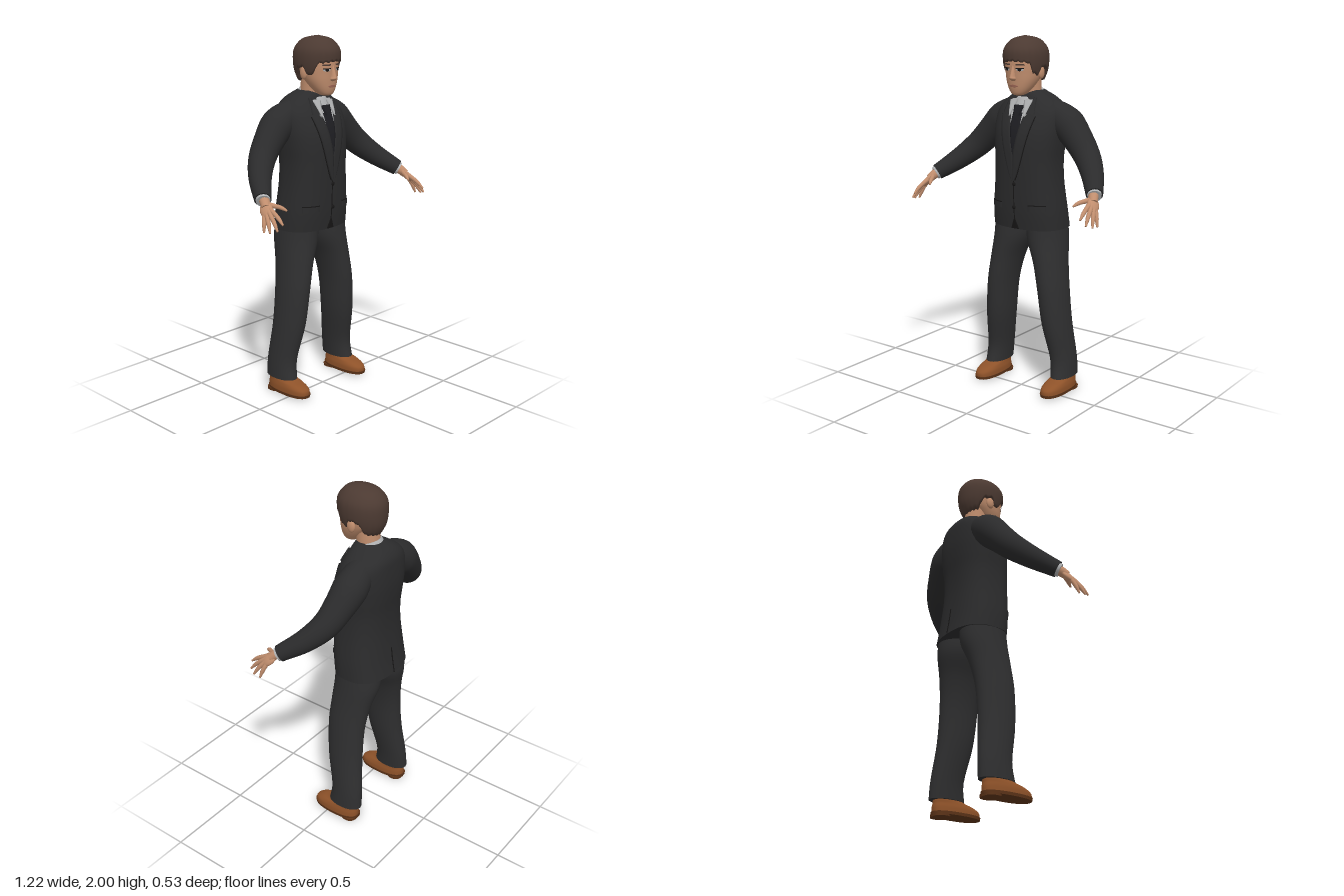
import * as THREE from 'three';

const paint = (name, color) => Object.assign(new THREE.MeshStandardMaterial({ color }), { name });
const V = (p) => new THREE.Vector3(...p);
const angles = (n) => Array.from({ length: n }, (_, j) => (j / n) * Math.PI * 2);

// Surface over a grid of points; closed rows wrap around
function gridGeometry(rows, wrap, flip = false, caps = false) {
  const cols = rows[0].length, pos = rows.flat().flatMap((p) => [p.x, p.y, p.z]), idx = [];
  const tri = (a, b, c) => (flip ? idx.push(a, c, b) : idx.push(a, b, c));
  for (let i = 0; i < rows.length - 1; i++) {
    for (let j = 0; j < (wrap ? cols : cols - 1); j++) {
      const k = (j + 1) % cols, a = i * cols, b = a + cols;
      tri(a + j, a + k, b + k);
      tri(a + j, b + k, b + j);
    }
  }
  // End caps use their own points so the rim stays crisp
  if (caps) [rows[0], rows[rows.length - 1]].forEach((ring, end) => {
    const start = pos.length / 3, mid = new THREE.Vector3();
    ring.forEach((p) => { mid.addScaledVector(p, 1 / cols); pos.push(p.x, p.y, p.z); });
    pos.push(mid.x, mid.y, mid.z);
    for (let j = 0; j < cols; j++) {
      const pts = [start + j, start + (j + 1) % cols];
      tri(start + cols, pts[1 - end], pts[end]);
    }
  });
  const g = new THREE.BufferGeometry();
  g.setAttribute('position', new THREE.Float32BufferAttribute(pos, 3));
  g.setIndex(idx);
  g.computeVertexNormals();
  return g;
}
// Smooth a table of sections [y, centreX, halfWidth, frontZ, backZ]
function smooth(table, n = 5) {
  const out = [], last = table.length - 1;
  for (let i = 0; i < last; i++) {
    const [p, q, r, s] = [table[Math.max(i - 1, 0)], table[i], table[i + 1], table[Math.min(i + 2, last)]];
    for (let k = 0; k < n; k++) {
      const t = k / n;
      out.push(q.map((v, c) => {
        const a = r[c] - p[c], b = 2 * p[c] - 5 * v + 4 * r[c] - s[c], d = 3 * (v - r[c]) + s[c] - p[c];
        return v + 0.5 * t * (a + t * (b + t * d));
      }));
    }
  }
  return [...out, table[last]];
}
function sectionAt(rows, y) {
  let i = 0;
  while (i < rows.length - 2 && rows[i + 1][0] < y) i++;
  const t = THREE.MathUtils.clamp((y - rows[i][0]) / (rows[i + 1][0] - rows[i][0]), 0, 1);
  return rows[i].map((v, c) => v + t * (rows[i + 1][c] - v));
}
// Point on a rounded cross-section; angle 0 faces the front
function rim([y, cx, rx, zf, zb], a, n = 2, tilt = 0) {
  const bend = (v) => Math.sign(v) * Math.abs(v) ** (2 / n);
  const c = bend(Math.cos(a));
  return V([cx + rx * bend(Math.sin(a)), y - tilt * c, (zf + zb) / 2 + ((zf - zb) / 2) * c]);
}
const loft = (rows, n = 2, segs = 40, tilt = 0) =>
  gridGeometry(rows.map((r) => angles(segs).map((a) => rim(r, a, n, tilt))), true, false, true);

// Round tube with a changing radius
function sweep(points, radii, steps = 20, segs = 16) {
  const curve = new THREE.CatmullRomCurve3(points.map(V)), f = curve.computeFrenetFrames(steps);
  const rows = [];
  for (let i = 0; i <= steps; i++) {
    const u = (i / steps) * (radii.length - 1), k = Math.min(Math.floor(u), radii.length - 2);
    const r = THREE.MathUtils.lerp(radii[k], radii[k + 1], u - k), c = curve.getPointAt(i / steps);
    rows.push(angles(segs).map((a) => c.clone().addScaledVector(f.normals[i], r * Math.cos(a))
      .addScaledVector(f.binormals[i], r * Math.sin(a))));
  }
  return gridGeometry(rows, true, false, true);
}
// Thin plate that follows the front (or back) of a lofted body
function drape(body, n, y0, y1, edges, off, side = 1) {
  const rows = [], cols = [0, 0, 0.2, 0.4, 0.6, 0.8, 1, 1], steps = 14;
  for (let i = 0; i <= steps; i++) {
    const t = i / steps, y = y0 + (y1 - y0) * t, [x0, x1] = edges(t, y);
    const [, , rx, zf, zb] = sectionAt(body, y);
    rows.push(cols.map((s, j) => {
      const x = x0 + (x1 - x0) * s, q = Math.min(Math.abs(x) / rx, 0.98);
      const z = (zf + zb) / 2 + side * ((zf - zb) / 2) * (1 - q ** n) ** (1 / n);
      return V([x, y, z + side * (j === 0 || j === 7 ? 0 : off)]);
    }));
  }
  return gridGeometry(rows, false, side < 0);
}

export function createModel() {
  const model = new THREE.Group();
  model.name = 'suitedMan';
  const suit = paint('jacket cloth', 0x2b2b2c), trouser = paint('trouser cloth', 0x2f2f30);
  const seam = paint('dark detail', 0x171616), tieCloth = paint('tie cloth', 0x1d1d21);
  const shirt = paint('shirt grey', 0xb0b1b2), skin = paint('skin', 0xc18e6e);
  const lips = paint('lips', 0xa26a58), hairMat = paint('hair', 0x4c3a32);
  const leather = paint('shoe leather', 0x8e5229), soleMat = paint('shoe sole', 0x5f3519);
  const add = (name, geo, mat) => model.add(Object.assign(new THREE.Mesh(geo, mat), { name }));
  const pair = (name, geo, mat) => {
    add(name + 'Left', geo, mat);
    const g = geo.clone().scale(-1, 1, 1), ix = g.index.array;
    for (let i = 0; i < ix.length; i += 3) [ix[i], ix[i + 1]] = [ix[i + 1], ix[i]];
    g.computeVertexNormals();
    add(name + 'Right', g, mat);
  };
  const blob = (p, s) => new THREE.SphereGeometry(1, 20, 14).scale(...s).translate(...p);

  // Jacket body
  const N = 2.5, torso = smooth([
    [0.945, 0, 0.22, 0.055, -0.262], [1.05, 0, 0.214, 0.066, -0.245], [1.2, 0, 0.197, 0.072, -0.23],
    [1.32, 0, 0.192, 0.075, -0.23], [1.42, 0, 0.2, 0.073, -0.24], [1.5, 0, 0.205, 0.06, -0.245],
    [1.58, 0, 0.2, 0.03, -0.242], [1.63, 0, 0.172, 0.006, -0.235], [1.665, 0, 0.13, -0.01, -0.215],
    [1.69, 0, 0.09, -0.02, -0.185], [1.705, 0, 0.07, -0.035, -0.16]]);
  add('jacketBody', loft(torso, N, 56), suit);
  const onTorso = (...args) => drape(torso, N, ...args);
  // Shirt front, tie and lapels
  const vee = (y) => (y < 1.57 ? Math.max(0.001, (y - 1.36) * 0.2) : 0.042 + (y - 1.57) * 0.3);
  const tieWidth = (y) => Math.min(0.03, vee(y) * 0.93);
  const lapelEdge = (t) => 0.008 + 0.1 * t ** 0.8;
  add('shirtFront', onTorso(1.36, 1.66, (t, y) => [-vee(y), vee(y)], 0.004), shirt);
  add('tieBlade', onTorso(1.365, 1.59, (t, y) => [-tieWidth(y), tieWidth(y)], 0.008), tieCloth);
  add('tieKnot', onTorso(1.575, 1.63, (t) => [-0.018 - 0.012 * t, 0.018 + 0.012 * t], 0.018), tieCloth);
  pair('shirtCollarPoint', onTorso(1.57, 1.655, (t) => [0.048 - 0.026 * t, 0.052 + 0.022 * t], 0.013), shirt);
  pair('lapel', onTorso(1.22, 1.575, (t, y) => [vee(y), lapelEdge(t)], 0.009), suit);
  pair('lapelSeam', onTorso(1.22, 1.575, (t) => [lapelEdge(t), lapelEdge(t) + 0.004], 0.003), seam);
  pair('jacketCollar', onTorso(1.585, 1.67, (t, y) => [vee(y) + 0.004, 0.1 - 0.015 * t], 0.01), suit);
  add('collarBand', loft([[1.655, 0, 0.086, 0.014, -0.172], [1.685, 0, 0.078, 0, -0.158],
    [1.695, 0, 0.072, -0.008, -0.15]], 2, 40, 0.025), shirt);
  // Jacket details
  add('frontEdge', onTorso(1.0, 1.23, () => [-0.002, 0.002], 0.003), seam);
  add('hemOpening', onTorso(0.946, 1.01, (t) => [0.025 * t - 0.026, 0.026 - 0.025 * t], 0.003), seam);
  add('backVent', onTorso(0.946, 1.1, () => [-0.003, 0.003], 0.003, -1), seam);
  pair('pocketFlap', onTorso(1.055, 1.085, () => [0.09, 0.178], 0.006), suit);
  pair('pocketSeam', onTorso(1.085, 1.091, () => [0.09, 0.178], 0.004), seam);
  for (const y of [1.07, 1.2]) add('button', blob([0.004, y, 0.074], [0.011, 0.011, 0.006]), seam);

  // Sleeves and shirt cuffs
  pair('sleeve', sweep([[0.11, 1.585, -0.12], [0.2, 1.54, -0.13], [0.29, 1.455, -0.118], [0.37, 1.37, -0.09],
    [0.45, 1.29, -0.02], [0.535, 1.21, 0.09]], [0.078, 0.094, 0.08, 0.07, 0.058, 0.045], 32, 24), suit);
  pair('cuff', sweep([[0.525, 1.219, 0.077], [0.541, 1.204, 0.1]], [0.039, 0.037], 3, 20), shirt);
  // Hands
  pair('wrist', sweep([[0.525, 1.219, 0.077], [0.54, 1.2, 0.11], [0.555, 1.178, 0.135]], [0.026, 0.027, 0.024], 8), skin);
  const along = V([0.03, -0.055, 0.06]).normalize(), across = V([0.03, -0.025, -0.04]);
  across.addScaledVector(along, -across.dot(along)).normalize();
  const palmFrame = new THREE.Matrix4().makeBasis(across, along, across.clone().cross(along)).setPosition(0.56, 1.168, 0.142);
  pair('palm', blob([0, 0, 0], [0.035, 0.05, 0.017]).applyMatrix4(palmFrame), skin);
  [['indexFinger', [0.553, 1.163, 0.183], [0.56, 1.11, 0.263]], ['middleFinger', [0.568, 1.15, 0.18], [0.586, 1.08, 0.25]],
    ['ringFinger', [0.578, 1.14, 0.167], [0.604, 1.068, 0.215]], ['littleFinger', [0.583, 1.133, 0.15], [0.606, 1.064, 0.172]],
    ['thumb', [0.52, 1.185, 0.155], [0.485, 1.163, 0.215]]].forEach(([name, knuckle, tip]) => {
    const mid = knuckle.map((v, i) => (v + tip[i]) / 2 + (i === 1 ? 0.005 : 0));
    pair(name, sweep([[0.545, 1.193, 0.12], knuckle, mid, tip], [0.016, 0.014, 0.012, 0.011, 0.005], 14, 10), skin);
  });

  // Trouser legs
  pair('trouserLeg', loft(smooth([
    [0.09, 0.232, 0.06, 0.005, -0.205], [0.2, 0.222, 0.064, -0.008, -0.2], [0.4, 0.196, 0.074, 0.03, -0.18],
    [0.6, 0.175, 0.077, 0.045, -0.18], [0.75, 0.148, 0.086, 0.04, -0.2], [0.88, 0.115, 0.107, 0.035, -0.232],
    [1.0, 0.106, 0.108, 0.03, -0.23]]), 2.1, 32), trouser);
  // Shoes
  pair('shoe', loft(smooth([[0.02, 0.233, 0.061, 0.104, -0.184], [0.05, 0.233, 0.06, 0.1, -0.184],
    [0.072, 0.233, 0.055, 0.06, -0.18], [0.09, 0.232, 0.05, 0.0, -0.178], [0.13, 0.23, 0.042, -0.04, -0.17]]), 2.4, 32), leather);
  pair('sole', loft([[0.01, 0.233, 0.062, 0.106, -0.187], [0.026, 0.233, 0.064, 0.11, -0.189]], 2.4, 32), soleMat);
  pair('heel', loft([[0, 0.233, 0.055, -0.09, -0.185], [0.015, 0.233, 0.056, -0.09, -0.186]], 2.6, 24), soleMat);

  // Neck, head and ears
  add('neck', loft([[1.63, 0, 0.066, -0.015, -0.15], [1.7, 0, 0.062, -0.018, -0.145], [1.8, 0, 0.064, 0, -0.14]]), skin);
  const H = 2.2, head = smooth([
    [1.683, 0, 0.022, 0.046, 0], [1.692, 0, 0.042, 0.059, -0.025], [1.72, 0, 0.064, 0.068, -0.06],
    [1.76, 0, 0.084, 0.073, -0.1], [1.8, 0, 0.095, 0.076, -0.135], [1.85, 0, 0.1, 0.078, -0.15],
    [1.92, 0, 0.098, 0.068, -0.15], [1.97, 0, 0.06, 0.03, -0.11]]);
  add('head', loft(head, H), skin);
  pair('ear', blob([0.1, 1.805, -0.045], [0.014, 0.035, 0.024]), skin);
  // Face
  add('nose', loft(smooth([[1.762, 0, 0.011, 0.08, 0.05], [1.775, 0, 0.019, 0.099, 0.05],
    [1.79, 0, 0.014, 0.097, 0.05], [1.845, 0, 0.009, 0.079, 0.05]]), 2, 18), skin);
  const onFace = (...args) => drape(head, H, ...args);
  const oval = (x, w) => (t) => [-1, 1].map((s) => x + s * (w * Math.sqrt(Math.max(0, 1 - (2 * t - 1) ** 2)) + 0.0005));
  pair('eyeWhite', onFace(1.815, 1.831, oval(0.041, 0.018), 0.002), shirt);
  pair('iris', onFace(1.815, 1.831, oval(0.041, 0.008), 0.004), seam);
  pair('eyelid', onFace(1.828, 1.833, () => [0.021, 0.061], 0.004), seam);
  pair('eyebrow', onFace(1.846, 1.854, (t) => [0.02, 0.066 - 0.006 * t], 0.004), hairMat);
  add('mouth', onFace(1.728, 1.742, oval(0, 0.026), 0.003), lips);

  // Hair: a cap whose lower edge runs over the brow, in front of the ear and down the nape
  const hair = smooth([
    [1.74, 0, 0.082, 0.06, -0.145], [1.8, 0, 0.105, 0.082, -0.174], [1.86, 0, 0.116, 0.092, -0.182],
    [1.92, 0, 0.113, 0.092, -0.178], [1.96, 0, 0.09, 0.068, -0.152], [1.985, 0, 0.058, 0.035, -0.115],
    [2.0, 0, 0.0005, -0.0345, -0.0355]]);
  const hairline = [[0, 1.87], [0.85, 1.86], [1.05, 1.805], [1.35, 1.79], [1.5, 1.84], [1.9, 1.83], [2.2, 1.765], [3.15, 1.748]];
  const hairRows = [];
  for (let k = -1; k <= 18; k++) {
    hairRows.push(angles(72).map((a) => {
      const low = sectionAt(hairline, Math.min(a, Math.PI * 2 - a))[1] + 0.005 * Math.sin(a * 23);
      const y = low + (2 - low) * Math.sin((Math.max(k, 0) / 18) * Math.PI / 2);
      const p = rim(sectionAt(hair, y), a, 2.1);
      // The first row tucks the edge under
      return k < 0 ? V([p.x * 0.78, p.y, -0.045 + (p.z + 0.045) * 0.78]) : p;
    }));
  }
  add('hair', gridGeometry(hairRows, true), hairMat);
  return model;
}
